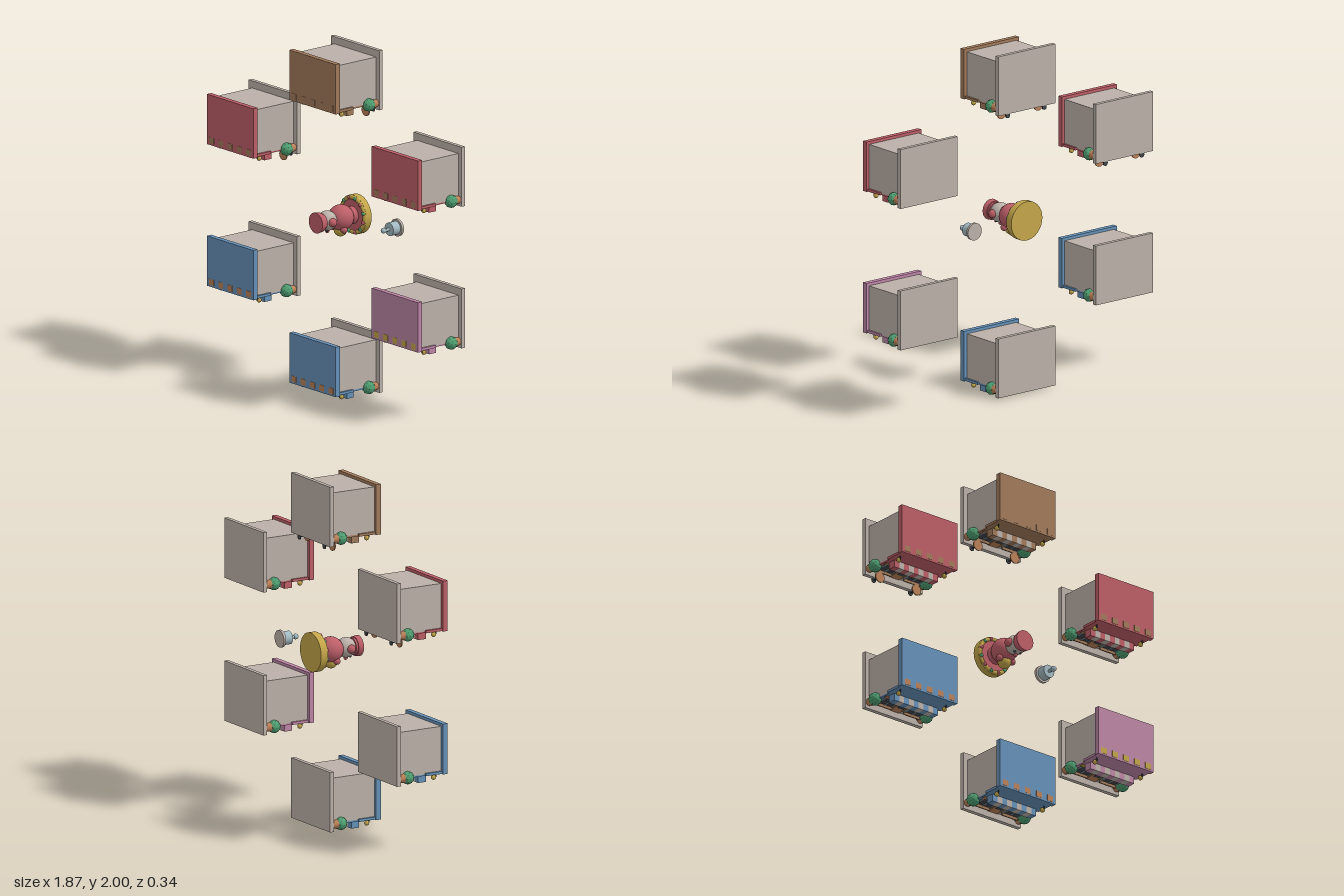
import * as THREE from 'three';

const mat = (name, color, flatShading = false) => {
  const m = new THREE.MeshStandardMaterial({ color, flatShading });
  m.name = name;
  return m;
};
const M = {
  stone: mat('stone', 0xbcb1a9), red: mat('red', 0xbd5f68), blue: mat('blue', 0x6691b8),
  brown: mat('brown', 0xa27b5c), pink: mat('pink', 0xbd86a6), green: mat('green', 0x4f9f72, true),
  gold: mat('gold', 0xc4a64a), clay: mat('clay', 0xbb8058), steel: mat('steel', 0xa3bac2),
  dark: mat('dark', 0x3f444a),
};

function add(parent, name, geo, material, x, y, z) {
  const m = new THREE.Mesh(geo, material);
  m.name = name;
  m.position.set(x, y, z);
  parent.add(m);
  return m;
}
// box given by its limits on each axis
const box = (p, name, material, x0, x1, y0, y1, z0, z1) =>
  add(p, name, new THREE.BoxGeometry(x1 - x0, y1 - y0, z1 - z0), material,
    (x0 + x1) / 2, (y0 + y1) / 2, (z0 + z1) / 2);
// cylinder along z, from z0 (radius r0) to z1 (radius r1)
const post = (p, name, material, r0, r1, x, y, z0, z1, sides = 24) =>
  add(p, name, new THREE.CylinderGeometry(r1, r0, z1 - z0, sides).rotateX(Math.PI / 2), material,
    x, y, (z0 + z1) / 2);
const ball = (p, name, material, r, x, y, z) =>
  add(p, name, new THREE.SphereGeometry(r, 20, 14), material, x, y, z);

// A shop whose roof faces +z and whose storefront faces -y
function shop(name, x, y, color, trim, tables) {
  const g = new THREE.Group();
  g.name = name;
  g.position.set(x, y, 0);

  box(g, 'basePlate', M.stone, -0.208, 0.208, -0.345, 0, -0.17, -0.145);
  box(g, 'walls', M.stone, -0.18, 0.18, -0.305, -0.042, -0.145, 0.138);
  box(g, 'roof', color, -0.2, 0.2, -0.315, -0.025, 0.137, 0.168);
  box(g, 'upperFacade', color, -0.192, 0.192, -0.313, -0.298, 0.03, 0.138);
  // trim blocks along the front of the roof
  for (let i = -2; i <= 2; i++)
    box(g, 'roofTrim', trim, i * 0.08 - 0.02, i * 0.08 + 0.02, -0.305, -0.27, 0.166, 0.1695);

  // striped awning
  for (let i = -4; i <= 4; i++)
    box(g, 'awningStripe', i % 2 ? M.stone : color,
      (i - 0.5) * 0.035, (i + 0.5) * 0.035, -0.355, -0.304, 0, 0.05);

  // storefront: sign band, windows with bars, and the door
  box(g, 'signBand', trim, -0.17, 0.17, -0.315, -0.304, -0.03, 0);
  for (const s of [-1, 1]) {
    box(g, 'cornerPost', color, s * 0.17 - 0.01, s * 0.17 + 0.01, -0.313, -0.303, -0.145, 0.03);
    box(g, 'window', M.dark, s * 0.1 - 0.05, s * 0.1 + 0.05, -0.309, -0.304, -0.11, -0.035);
    for (const b of [-0.05, 0, 0.05])
      box(g, 'windowBar', M.steel, s * 0.1 + b - 0.003, s * 0.1 + b + 0.003, -0.312, -0.304, -0.112, -0.033);
    box(g, 'windowSill', M.brown, s * 0.1 - 0.055, s * 0.1 + 0.055, -0.325, -0.304, -0.118, -0.11);

    // lantern
    box(g, 'lanternArm', M.dark, s * 0.165 - 0.003, s * 0.165 + 0.003, -0.333, -0.31, 0.108, 0.113);
    ball(g, 'lantern', M.gold, 0.014, s * 0.165, -0.333, 0.096);

    // potted bush
    post(g, 'pot', M.clay, 0.02, 0.027, s * 0.185, -0.308, -0.145, -0.112, 12);
    add(g, 'bush', new THREE.IcosahedronGeometry(0.038, 1), M.green, s * 0.185, -0.308, -0.087);

    if (tables) {
      post(g, 'tableStem', M.dark, 0.004, 0.004, s * 0.133, -0.355, -0.16, -0.11, 8);
      post(g, 'tableFoot', M.dark, 0.016, 0.016, s * 0.133, -0.355, -0.165, -0.16, 12);
      post(g, 'tableTop', M.clay, 0.032, 0.032, s * 0.133, -0.355, -0.113, -0.106);
    }
  }
  box(g, 'door', M.clay, -0.035, 0.035, -0.31, -0.304, -0.145, -0.035);
  box(g, 'doorPane', M.dark, -0.022, 0.022, -0.313, -0.309, -0.09, -0.045);
  ball(g, 'doorKnob', M.gold, 0.005, 0.026, -0.313, -0.1);
  return g;
}

// Figure standing on a round, decorated base
function figure() {
  const g = new THREE.Group();
  g.name = 'statue';
  g.position.set(0, 1.008, 0);
  post(g, 'base', M.gold, 0.113, 0.113, 0, 0, -0.17, -0.13, 32);
  post(g, 'baseTop', M.red, 0.09, 0.09, 0, 0, -0.131, -0.126, 32);
  add(g, 'baseRim', new THREE.TorusGeometry(0.1, 0.012, 10, 36), M.gold, 0, 0, -0.13);
  for (let i = 0; i < 12; i++) {
    const a = (i + 0.5) * Math.PI / 6;
    ball(g, 'bauble', i % 2 ? M.red : M.green, 0.011, 0.1 * Math.cos(a), 0.1 * Math.sin(a), -0.122);
  }
  post(g, 'legs', M.red, 0.05, 0.045, 0, 0, -0.127, -0.08);
  ball(g, 'body', M.red, 0.074, 0, 0, -0.04);
  ball(g, 'head', M.stone, 0.057, 0, 0, 0.062);
  post(g, 'hatBrim', M.red, 0.05, 0.05, 0, 0, 0.1, 0.115);
  post(g, 'hat', M.red, 0.055, 0.06, 0, 0, 0.113, 0.144);
  // held bowl and face
  ball(g, 'bowl', M.gold, 0.038, 0, -0.07, -0.037);
  ball(g, 'nose', M.red, 0.012, 0, -0.06, 0.06);
  for (const s of [-1, 1]) {
    ball(g, 'ear', M.red, 0.025, s * 0.052, 0, 0.065);
    ball(g, 'eye', M.dark, 0.007, s * 0.02, -0.051, 0.078);
    ball(g, 'hand', M.red, 0.02, s * 0.045, -0.06, -0.025);
  }
  return g;
}

// Small tiered fountain
function fountain() {
  const g = new THREE.Group();
  g.name = 'fountain';
  g.position.set(0.363, 1.008, 0);
  post(g, 'fountainFoot', M.stone, 0.05, 0.05, 0, 0, -0.152, -0.137);
  post(g, 'basin', M.steel, 0.038, 0.038, 0, 0, -0.137, -0.085);
  post(g, 'spout', M.steel, 0.009, 0.009, 0, 0, -0.085, -0.05, 12);
  ball(g, 'finial', M.steel, 0.016, 0, 0, -0.045);
  return g;
}

export function createModel() {
  const g = new THREE.Group();
  g.name = 'marketSquare';
  g.add(
    shop('topShop', 0, 2, M.brown, M.brown, true),
    shop('upperRightShop', -0.711, 1.592, M.red, M.brown, true),
    shop('upperLeftShop', 0.711, 1.592, M.red, M.brown, false),
    shop('lowerRightShop', -0.711, 0.77, M.blue, M.clay, false),
    shop('lowerLeftShop', 0.711, 0.77, M.pink, M.gold, false),
    shop('bottomShop', 0, 0.36, M.blue, M.clay, false),
    figure(), fountain());
  return g;
}
